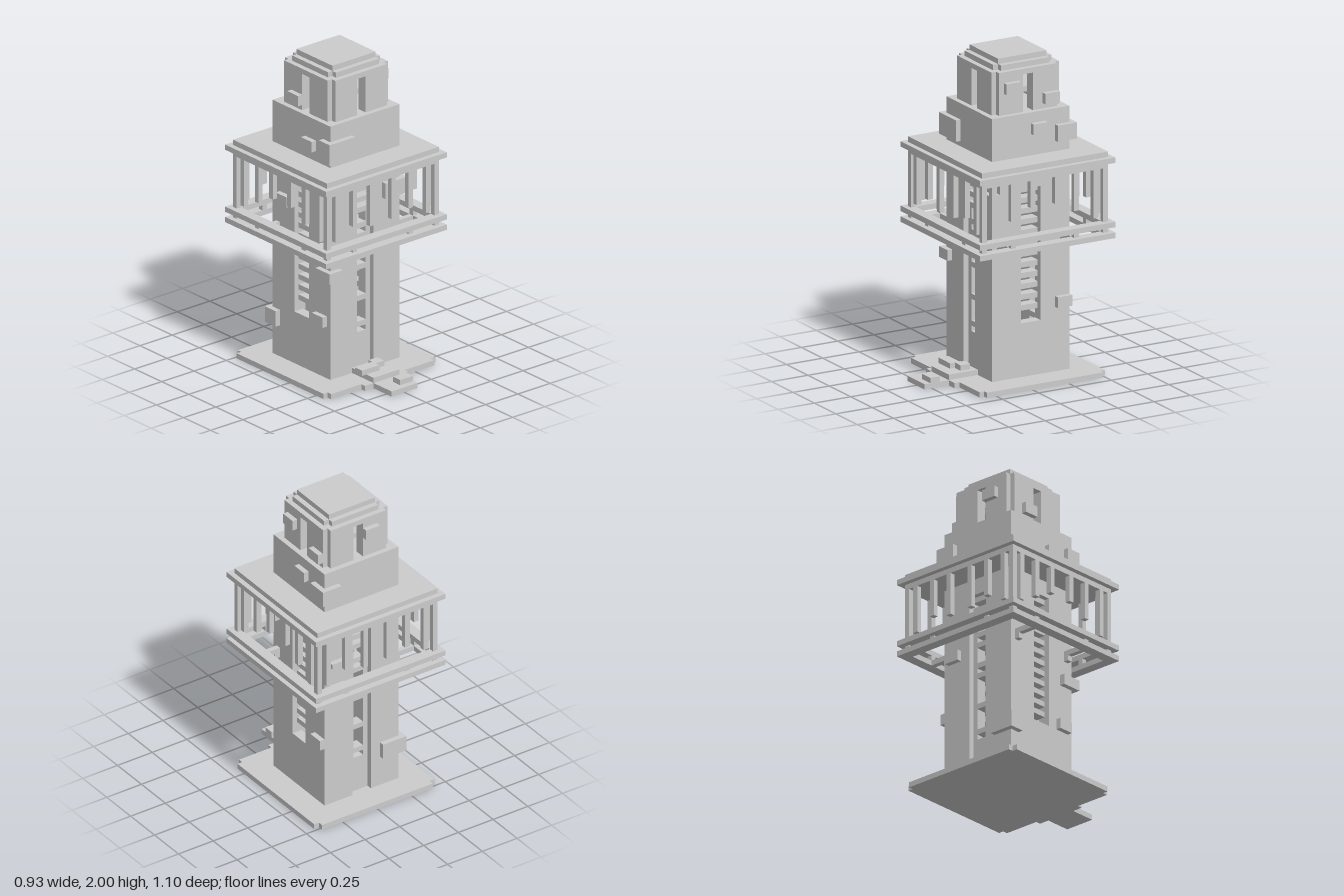
import * as THREE from 'three';

// Everything sits on a block grid: 30 blocks per unit, measured from the tower axis.
const U = 1 / 30;
const mat = new THREE.MeshStandardMaterial({ color: 0xcccccc, flatShading: true });

// Box given by its limits in blocks: x0, x1, y0, y1, z0, z1
function box(parent, name, x0, x1, y0, y1, z0, z1) {
  const m = new THREE.Mesh(new THREE.BoxGeometry((x1 - x0) * U, (y1 - y0) * U, (z1 - z0) * U), mat);
  m.position.set((x0 + x1) / 2 * U, (y0 + y1) / 2 * U, (z0 + z1) / 2 * U);
  m.name = name;
  parent.add(m);
}

function part(parent, name) {
  const g = new THREE.Group();
  g.name = name;
  parent.add(g);
  return g;
}

// Calls build(group, index) for front, right, back and left; the side faces +z in each
function fourSides(parent, name, build) {
  for (let i = 0; i < 4; i++) {
    const g = part(parent, name);
    g.rotation.y = i * Math.PI / 2;
    build(g, i);
  }
}

// Square slab with its corners cut away by one block
function notched(parent, name, r, y0, y1) {
  box(parent, name, -r, r, y0, y1, 1 - r, r - 1);
  box(parent, name, 1 - r, r - 1, y0, y1, r - 1, r);
  box(parent, name, 1 - r, r - 1, y0, y1, -r, 1 - r);
}

export function createModel() {
  const model = new THREE.Group();
  model.name = 'watchtower';
  const t = part(model, 'tower');
  t.position.z = -2.5 * U;

  // Base plate, path and entrance steps
  notched(t, 'basePlate', 13, 0, 1);
  const path = part(t, 'path');
  box(path, 'pathLanding', -5, 5, 0, 1, 13, 14);
  box(path, 'pathSlab', -3, 3, 0, 1, 14, 19);
  box(path, 'pathStone', 0, 3, 1, 2, 15.8, 17.8);
  box(path, 'entranceStep', -3, 3, 1, 2, 8, 14);
  box(path, 'stepStone', -4, 0, 2, 3, 10, 12);
  box(path, 'stepStone', 0, 2, 2, 3, 9, 11);

  // Shaft: four slotted walls around a hollow core
  fourSides(t, 'shaftWall', (g, i) => {
    const door = i % 2 === 0;
    const end = door ? 8 : 6;
    const sill = door ? 1 : 11;
    for (const s of [-1, 1]) box(g, 'wallPanel', s < 0 ? -end : 2, s < 0 ? -2 : end, 1, 39, 6, 8);
    box(g, 'wallLintel', -2, 2, 36, 39, 6, 8);
    if (!door) {
      box(g, 'wallSill', -2, 2, 1, sill, 6, 8);
      for (let y = 13; y < 36; y += 2) box(g, 'rung', -2, 2, y, y + 1, 5, 7);
      return;
    }
    // Recessed doorway with a narrow ladder window
    box(g, 'doorPanel', -2, 2, 1, 8, 5, 7);
    box(g, 'doorJamb', -2, -1, 8, 32, 5, 7);
    box(g, 'doorJamb', 1, 2, 8, 32, 5, 7);
    for (const y of [9, 14, 20, 22, 26, 28, 31, 33, 35]) box(g, 'rung', -2, 2, y, y + 1, 5, 7);
  });

  // Balcony roof
  const roof = part(t, 'balconyRoof');
  box(roof, 'roofSoffit', -13, 13, 39, 40, -13, 13);
  box(roof, 'roofEave', -14, 14, 40, 41, -14, 14);
  box(roof, 'roofTop', -13, 13, 41, 42, -13, 13);

  // Balcony railings, corner posts and hanging slats
  fourSides(t, 'balconySide', (g, i) => {
    for (const y of [26, 28]) box(g, 'rail', -14, 12, y, y + 1, 12, 14);
    box(g, 'cornerPost', -13, -12, 27, 39, 12, 13);
    for (const s of [-1, 1]) {
      const slat = (x, y0, y1, name) => box(g, name, s * x - 0.5, s * x + 0.5, y0, y1, 12, 13);
      slat(10.5, 30, 39, 'hangingSlat');
      slat(6.5, 32, 39, 'hangingSlat');
      slat(2.5, i % 2 ? 34 : 31, 39, 'hangingSlat');
      slat(6.5, 27, 28, 'railSpacer');
      if (i % 2) {
        box(g, 'railStrut', s * 6.5 - 0.5, s * 6.5 + 0.5, 26, 27, 8, 12);
        box(g, 'strutBracket', s * 6.5 - 0.5, s * 6.5 + 0.5, 25, 26, 8, 9);
      }
    }
  });

  // Upper storey
  box(t, 'upperStorey', -8, 8, 42, 50, -8, 8);

  // Lantern room with a window on each side and a floor inside
  fourSides(t, 'lanternWall', (g) => {
    box(g, 'lanternPanel', -6, -1, 50, 58, 5, 7);
    box(g, 'lanternPanel', 1, 6, 50, 58, 5, 7);
    box(g, 'lanternLintel', -1, 1, 57, 58, 5, 7);
  });
  box(t, 'lanternFloor', -5, 5, 53, 54, -5, 5);
  notched(t, 'lowerCap', 6, 58, 59);
  box(t, 'upperCap', -5, 5, 59, 60, -5, 5);

  // Stones jutting out of the walls
  const stones = part(t, 'juttingStones');
  [
    [-9, -3, 43, 47, 6, 9], [5, 9, 44, 47, -9, -5], [7, 9, 46, 48, -3, 0], [-9, -7, 44, 46, 1, 4],
    [6, 8, 54, 56, 2, 5], [6, 8, 51, 53, -6, -3], [-4, -1, 54, 56, -8, -6], [-8, -6, 51, 53, -4, -1],
    [-9, -6, 20, 22, 5, 9], [7, 9, 13, 15, -8, -5], [-9, -4, 7, 10, -9, -6], [-9, -7, 11, 13, 4, 7],
    [4, 9, 33, 36, 6, 9], [7, 9, 36, 38, 4, 7], [-9, -7, 31, 33, -6, -3], [4, 7, 30, 31, -9, -7],
    [4, 7, 24, 26, -9, -7],
  ].forEach((s) => box(stones, 'juttingStone', ...s));

  return model;
}
